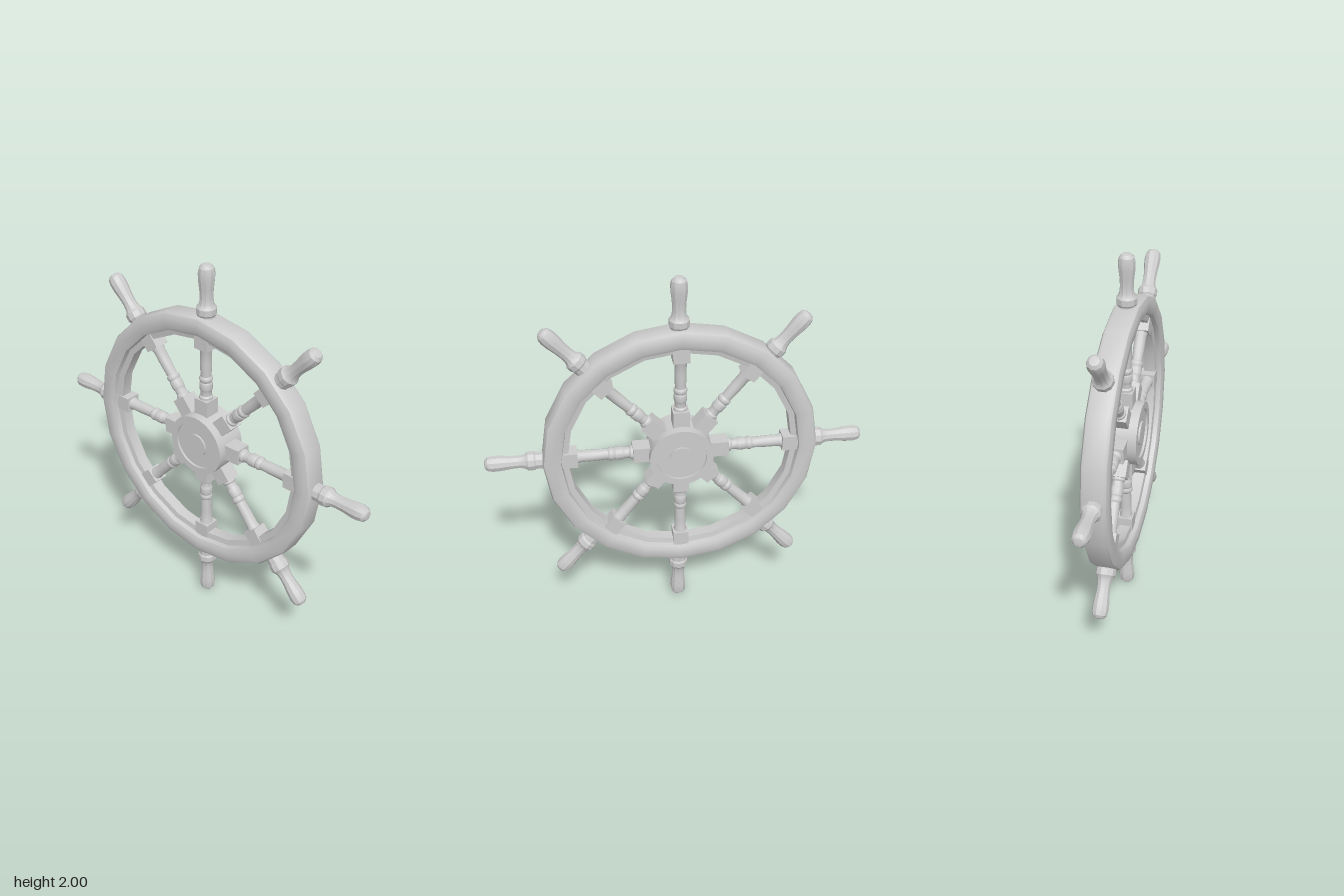
import * as THREE from 'three';
import { toCreasedNormals } from 'three/addons/utils/BufferGeometryUtils.js';

const grey = new THREE.MeshStandardMaterial({ color: 0xcccccc });
const CX = -0.022, CY = 1.015;

// Turned solid from [radius, height] pairs, with crisp edges above the crease angle
function turned(profile, sides, crease) {
  const points = profile.map(([r, h]) => new THREE.Vector2(r, h));
  return toCreasedNormals(new THREE.LatheGeometry(points, sides), crease);
}

function add(parent, name, geometry) {
  const mesh = new THREE.Mesh(geometry, grey);
  mesh.name = name;
  parent.add(mesh);
  return mesh;
}

export function createModel() {
  const wheel = new THREE.Group();
  wheel.name = 'shipWheel';

  // Twenty-sided rim: chamfered outside, stepped ledge inside
  const rim = add(wheel, 'rim', turned([
    [0.72, -0.045], [0.72, 0.045], [0.712, 0.06], [0.69, 0.07],
    [0.645, 0.07], [0.625, 0.06], [0.62, 0.035], [0.59, 0.03],
    [0.59, -0.03], [0.62, -0.035], [0.625, -0.06], [0.645, -0.07],
    [0.69, -0.07], [0.712, -0.06], [0.72, -0.045],
  ], 20, 0.6));
  rim.rotation.x = Math.PI / 2;
  rim.position.set(CX, CY, 0.004);

  // Hub drum with a recessed ring and a round boss on both faces
  const hub = add(wheel, 'hub', turned([
    [0, -0.086], [0.063, -0.086], [0.063, -0.076], [0.13, -0.076], [0.13, -0.088], [0.167, -0.088],
    [0.167, 0.088], [0.13, 0.088], [0.13, 0.076], [0.063, 0.076], [0.063, 0.086], [0, 0.086],
  ], 32, 0.6));
  hub.rotation.x = Math.PI / 2;
  hub.position.set(CX + 0.003, CY, 0);

  // Shared spoke and handle shapes, all pointing outward along +y
  const spokeGeo = turned([
    [0.036, 0.23], [0.036, 0.262], [0.029, 0.27], [0.029, 0.295], [0.034, 0.305],
    [0.034, 0.34], [0.03, 0.347], [0.035, 0.358], [0.035, 0.37], [0.028, 0.38],
    [0.031, 0.46], [0.031, 0.52], [0.035, 0.53], [0.035, 0.56],
  ], 14, 0.6);
  const handleGeo = turned([
    [0.046, 0.66], [0.046, 0.735], [0.052, 0.745], [0.052, 0.775], [0.044, 0.785],
    [0.037, 0.80], [0.034, 0.83], [0.036, 0.87], [0.042, 0.92], [0.043, 0.955],
    [0.038, 0.98], [0.024, 0.995], [0, 1],
  ], 10, 0.5);
  const innerBlockGeo = new THREE.BoxGeometry(0.085, 0.115, 0.085);
  const outerBlockGeo = new THREE.BoxGeometry(0.084, 0.085, 0.084);

  // [spoke angle, handle angle, handle reach]; degrees anticlockwise from the top
  const arms = [
    [0, -0.2, 0.985], [38.5, 40.6, 0.985], [90, 89.3, 0.974], [136.5, 138.8, 0.975],
    [180, 180.4, 1.015], [218.5, 221.8, 1.008], [270, 270, 1.012], [316.5, 318, 1.0],
  ];
  for (const [spokeAngle, handleAngle, reach] of arms) {
    const spoke = new THREE.Group();
    spoke.name = 'spoke';
    spoke.position.set(CX, CY + 0.006 * Math.abs(Math.sin(spokeAngle * Math.PI / 180)), 0);
    spoke.rotation.z = THREE.MathUtils.degToRad(spokeAngle);
    add(spoke, 'spokeShaft', spokeGeo);
    add(spoke, 'innerBlock', innerBlockGeo).position.y = 0.193;
    add(spoke, 'outerBlock', outerBlockGeo).position.y = 0.58;
    wheel.add(spoke);

    const grip = new THREE.Group();
    grip.name = 'handle';
    grip.position.set(CX + 0.004, CY, 0.003);
    grip.rotation.z = THREE.MathUtils.degToRad(handleAngle);
    add(grip, 'handleGrip', handleGeo).position.y = reach - 1;
    wheel.add(grip);
  }
  return wheel;
}
